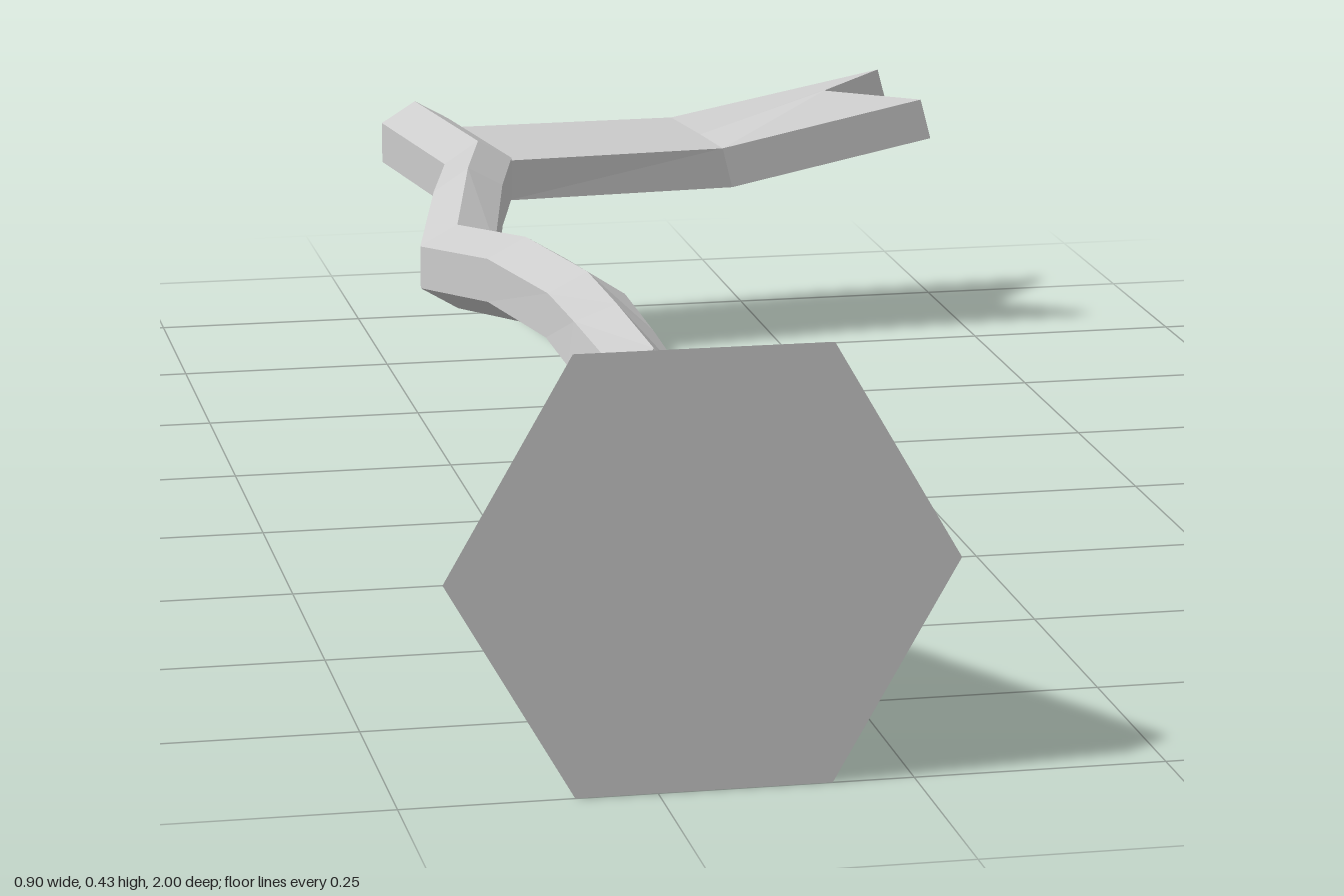
import * as THREE from 'three';

const material = new THREE.MeshStandardMaterial({ color: 0xcccccc, flatShading: true });

// Skin closed rings (counter-clockwise looking along the travel direction) and cap both ends
function loft(name, rings) {
  const n = rings[0].length, index = [];
  for (let i = 0; i < rings.length - 1; i++) {
    for (let j = 0; j < n; j++) {
      const k = (j + 1) % n, a = i * n, b = a + n;
      index.push(a + j, b + j, b + k, a + j, b + k, a + k);
    }
  }
  const last = (rings.length - 1) * n;
  for (let s = 1; s < n - 1; s++) {
    const p = (2 + s) % n, q = (3 + s) % n;
    index.push(2, p, q, last + 2, last + q, last + p);
  }
  const geometry = new THREE.BufferGeometry();
  geometry.setAttribute('position', new THREE.Float32BufferAttribute(rings.flat(2), 3));
  geometry.setIndex(index);
  const flat = geometry.toNonIndexed();
  flat.computeVertexNormals();
  const mesh = new THREE.Mesh(flat, material);
  mesh.name = name;
  return mesh;
}

// Hexagonal ring: centre, radius, twist in degrees, slant of z across x
function hexRing([x, y, z, r, twist, slant]) {
  return Array.from({ length: 6 }, (_, j) => {
    const a = THREE.MathUtils.degToRad(twist + j * 60);
    const dx = r * Math.cos(a);
    return [x + dx, y + r * Math.sin(a), z + slant * dx];
  });
}

// Flag ring from near, middle and far points of the top face
function flagRing(near, mid, far, shift) {
  const under = ([x, y, z]) => [x + shift, y - 0.05, z];
  return [under(near), near, mid, far, under(far), under(mid)];
}

export function createModel() {
  const group = new THREE.Group();

  // Crooked shaft flaring into a wide horn at the front
  const stations = [
    [-0.205, 0.218, 1.0, 0.25, 0, 0],
    [-0.205, 0.222, 0.5, 0.051, 0, 0],
    [-0.135, 0.222, 0.32, 0.05, 15, 0.25],
    [-0.138, 0.232, 0.16, 0.05, 22, 0.1],
    [-0.14, 0.236, 0.02, 0.05, 27, 0],
    [-0.177, 0.24, -0.15, 0.05, 30, 0.15],
    [-0.222, 0.211, -0.36, 0.05, 30, 0.1],
    [-0.18, 0.24, -0.54, 0.05, 30, -0.25],
    [-0.14, 0.237, -0.71, 0.05, 30, -0.25],
    [-0.18, 0.24, -0.96, 0.05, 30, -0.17],
  ];
  group.add(loft('hornAndShaft', stations.map(hexRing)));

  // Bent flag blade with a notched tip, rooted in the side of the shaft
  group.add(loft('notchedFlag', [
    flagRing([-0.1, 0.258, -0.724], [-0.12, 0.26, -0.83], [-0.14, 0.261, -0.928], 0),
    flagRing([0.18, 0.251, -0.778], [0.17, 0.251, -0.87], [0.155, 0.251, -0.984], 0.012),
    flagRing([0.437, 0.3, -0.793], [0.331, 0.3, -0.875], [0.43, 0.3, -1.0], 0.013),
  ]));

  return group;
}
